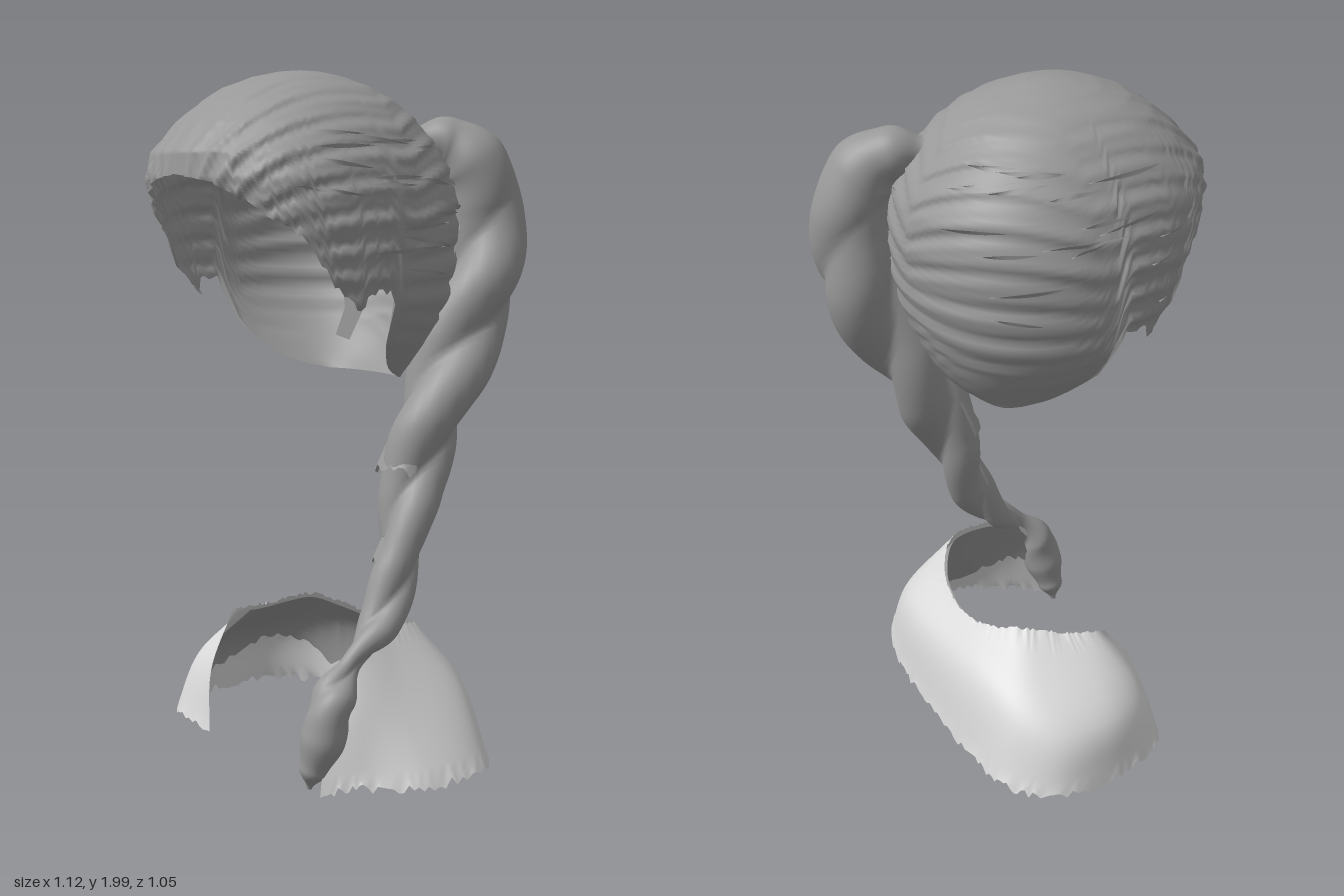
import * as THREE from 'three';
import { mergeVertices } from 'three/addons/utils/BufferGeometryUtils.js';

const { lerp, smoothstep } = THREE.MathUtils;
const V = (x, y, z) => new THREE.Vector3(x, y, z);

// Small seeded random numbers
function seeded(seed) {
  return () => (seed = (seed * 16807) % 2147483647) / 2147483647;
}

// Piecewise-linear lookup in a table of rows [key, a, b, ...], keys ascending
function sample(table, key, col) {
  if (key <= table[0][0]) return table[0][col];
  for (let i = 1; i < table.length; i++) {
    const a = table[i - 1], b = table[i];
    if (key <= b[0]) return lerp(a[col], b[col], (key - a[0]) / (b[0] - a[0]));
  }
  return table[table.length - 1][col];
}

// Smooth surface from a function of u and v, both 0..1
function grid(nu, nv, fn) {
  const pos = [], index = [];
  for (let i = 0; i <= nu; i++)
    for (let j = 0; j <= nv; j++) pos.push(...fn(i / nu, j / nv, i).toArray());
  for (let i = 0; i < nu; i++)
    for (let j = 0; j < nv; j++) {
      const a = i * (nv + 1) + j, b = a + nv + 1;
      index.push(a, a + 1, b, b, a + 1, b + 1);
    }
  let geo = new THREE.BufferGeometry();
  geo.setAttribute('position', new THREE.Float32BufferAttribute(pos, 3));
  geo.setIndex(index);
  geo = mergeVertices(geo, 1e-5);
  geo.computeVertexNormals();
  return geo;
}

// Head hair levels: y, half width, front z, back z, centre z
const LEVELS = [
  [1.12, 0.19, -0.05, -0.19, -0.1], [1.15, 0.24, 0.06, -0.23, 0.0],
  [1.2, 0.29, 0.13, -0.265, 0.05], [1.25, 0.335, 0.2, -0.29, 0.07],
  [1.35, 0.395, 0.36, -0.33, 0.08], [1.45, 0.415, 0.43, -0.35, 0.08],
  [1.6, 0.42, 0.49, -0.36, 0.08], [1.7, 0.4, 0.52, -0.345, 0.09],
  [1.77, 0.37, 0.51, -0.31, 0.09], [1.85, 0.315, 0.44, -0.25, 0.09],
  [1.91, 0.255, 0.37, -0.185, 0.09], [1.95, 0.195, 0.305, -0.115, 0.09],
  [1.98, 0.125, 0.225, -0.03, 0.09], [1.995, 0.06, 0.15, 0.03, 0.09], [2.0, 0, 0.09, 0.09, 0.09],
];
// Hem height by degrees from the front
const HEM = [
  [0, 1.71], [18, 1.69], [40, 1.6], [52, 1.54], [60, 1.42], [72, 1.34],
  [77, 1.4], [88, 1.4], [90, 1.36], [92, 1.25], [97, 1.17], [106, 1.13], [122, 1.12], [180, 1.12],
];
// Squares off a sine or cosine a little
const square = (n) => Math.sign(n) * Math.pow(Math.abs(n), 0.9);

function headPoint(theta, y, lift = 0) {
  const c = square(Math.cos(theta)), s = square(Math.sin(theta));
  const [w, f, b, zc] = [1, 2, 3, 4].map((k) => sample(LEVELS, y, k));
  const p = V(0.02 + s * w, y, zc + c * (c > 0 ? f - zc : zc - b));
  // Combed ridges run from the brow to the back
  const phi = Math.atan2(y - 1.42, Math.abs(p.x - 0.02) + Math.max(0, -p.z));
  const ridge = 0.005 * Math.sin(phi * 37 + p.z * 2) + 0.003 * Math.sin(phi * 71 - p.z * 5);
  const fade = smoothstep(y, 1.15, 1.35) * (1 - smoothstep(y, 1.94, 2));
  const k = 1 + (ridge * fade + lift) / 0.42;
  return V(0.02 + (p.x - 0.02) * k, y, 0.08 + (p.z - 0.08) * k);
}

// Braid: x, y, z and radius along its length
const BRAID = [
  [0.16, 1.80, -0.23, 0.045], [0.2, 1.8, -0.31, 0.075], [0.25, 1.74, -0.375, 0.1],
  [0.265, 1.6, -0.415, 0.105], [0.275, 1.4, -0.39, 0.115], [0.275, 1.2, -0.285, 0.11],
  [0.275, 1.0, -0.185, 0.102], [0.29, 0.8, -0.1, 0.08], [0.32, 0.6, -0.025, 0.066],
  [0.35, 0.45, 0.07, 0.054], [0.36, 0.36, 0.18, 0.028], [0.37, 0.27, 0.255, 0.06],
  [0.365, 0.17, 0.282, 0.064], [0.345, 0.08, 0.3, 0.042], [0.33, 0.02, 0.305, 0.008],
];

function braidGeometry() {
  const curve = new THREE.CatmullRomCurve3(BRAID.map(([x, y, z]) => V(x, y, z)));
  const last = BRAID.length - 1;
  return grid(140, 28, (u, v) => {
    const i = Math.min(Math.floor(u * last), last - 1), f = u * last - i;
    let r = lerp(BRAID[i][3], BRAID[i + 1][3], f * f * (3 - 2 * f));
    const t = curve.getTangent(u);
    const side = V(1, 0, 0).addScaledVector(t, -t.x).normalize();
    const out = t.clone().cross(side);
    const a = -v * Math.PI * 2;
    // Two locks wound around one another
    const twist = smoothstep(u, 0.12, 0.35) * (1 - smoothstep(u, 0.74, 0.85));
    r *= 1 + twist * (0.46 * Math.abs(Math.cos(a - u * 24)) - 0.3);
    return curve.getPoint(u)
      .addScaledVector(side, r * Math.cos(a)).addScaledVector(out, r * Math.sin(a));
  });
}

// Shoulder cape: rim, middle and hem, from the front at +x round the back
const RIM = [
  [0.33, 0.35, 0.19], [0.335, 0.39, 0.12], [0.325, 0.42, 0.02], [0.3, 0.42, -0.1],
  [0.2, 0.385, -0.18], [0.1, 0.36, -0.21], [0, 0.355, -0.22], [-0.12, 0.37, -0.2],
  [-0.21, 0.395, -0.14], [-0.25, 0.385, -0.07], [-0.28, 0.37, 0], [-0.3, 0.365, 0.06], [-0.31, 0.36, 0.1],
];
const MID = [
  [0.36, 0.2, 0.255], [0.4, 0.22, 0.17], [0.43, 0.22, 0.04], [0.42, 0.23, -0.18],
  [0.33, 0.24, -0.26], [0.18, 0.25, -0.3], [0, 0.26, -0.305], [-0.24, 0.265, -0.295],
  [-0.41, 0.23, -0.25], [-0.505, 0.2, -0.15], [-0.505, 0.2, 0.03], [-0.42, 0.2, 0.16], [-0.26, 0.2, 0.22],
];
const HEMLINE = [
  [0.385, 0.025, 0.31], [0.45, 0.025, 0.2], [0.545, 0.025, 0.05], [0.53, 0.025, -0.19],
  [0.4, 0.025, -0.285], [0.2, 0.025, -0.33], [0, 0.025, -0.34], [-0.28, 0.025, -0.34],
  [-0.45, 0.025, -0.31], [-0.55, 0.025, -0.2], [-0.555, 0.025, 0.03], [-0.48, 0.025, 0.2], [-0.2, 0.025, 0.27],
];
const [rim, mid, hemline] = [RIM, MID, HEMLINE].map(
  (rows) => new THREE.CatmullRomCurve3(rows.map((p) => V(...p))));

function capePoint(u, v) {
  return new THREE.CatmullRomCurve3([rim, mid, hemline].map((c) => c.getPoint(u))).getPoint(v);
}

export function createModel() {
  const hair = new THREE.MeshStandardMaterial({ color: 0x989898, side: THREE.DoubleSide });
  hair.name = 'hairGrey';
  const cloth = new THREE.MeshStandardMaterial({ color: 0xdadada, side: THREE.DoubleSide });
  cloth.name = 'capeLightGrey';
  const model = new THREE.Group();
  const rand = seeded(77);
  const jag = Array.from({ length: 200 }, () => rand() - 0.5);
  const add = (name, geo, mat, parent = model) => {
    const mesh = new THREE.Mesh(geo, mat);
    mesh.name = name;
    parent.add(mesh);
    return mesh;
  };

  // Head of hair, open at the face, with a ragged hem
  add('headHair', grid(180, 70, (u, v, i) => {
    const deg = Math.abs(u * 360 - 180);
    const theta = (u * 2 - 1) * Math.PI + Math.PI * 2;
    const degFront = 180 - deg;
    const ragged = degFront > 25 && degFront < 88 ? jag[i % 180] * 0.025 : 0;
    const hem = sample(HEM, degFront, 1) + ragged;
    return headPoint(theta + Math.PI, lerp(2, hem, Math.pow(v, 1.6)));
  }), hair);

  // Loose strands lying on the hair
  const strands = new THREE.Group();
  strands.name = 'looseStrands';
  model.add(strands);
  for (let k = 0; k < 40; k++) {
    const y0 = 1.45 + rand() * 0.42, side = k % 2 ? 1 : -1;
    const from = 0.9 + rand() * 1.6, span = 0.25 + rand() * 0.35, drop = (rand() - 0.6) * 0.06;
    add('strand', grid(10, 1, (u, v) => {
      const taper = Math.sin(u * Math.PI) * 0.012;
      return headPoint(side * (from + u * span), y0 + drop * u + (v - 0.5) * taper, 0.002 + 0.008 * u * v);
    }), hair, strands);
  }

  // Inner lock hanging beside the face at +x
  const lock = new THREE.Shape([
    [0.17, 1.5], [0.23, 1.55], [0.24, 1.47], [0.31, 1.43], [0.29, 1.34], [0.23, 1.25],
    [0.17, 1.26], [0.21, 1.34], [0.2, 1.42],
  ].map(([x, y]) => new THREE.Vector2(x, y)));
  add('innerLock', new THREE.ShapeGeometry(lock), hair).position.z = 0.08;

  // Ponytail wound into a rope that falls forward over the shoulder
  add('braid', braidGeometry(), hair);
  // Ragged tufts where the locks end along the braid
  for (const [x, y, z, s] of [[0.26, 0.9, -0.09, 0.11], [0.31, 0.64, 0.0, 0.07], [0.35, 0.42, 0.12, 0.045]]) {
    const tuft = add('braidTuft', grid(16, 3, (u, v, i) => {
      const a = (u - 0.5) * Math.PI, r = s * (0.5 + 0.25 * v);
      return V(r * Math.sin(a), s * (0.6 - v) + (v === 1 ? jag[i] * 0.25 * s : 0), r * Math.cos(a) * 0.6);
    }), hair);
    tuft.position.set(x, y, z);
    tuft.rotation.x = -0.3;
  }

  // Shoulder cape, open at the front
  add('cape', grid(150, 16, (u, v, i) => {
    const p = capePoint(u, v);
    p.y += jag[i] * (v === 1 ? 0.03 : v === 0 ? 0.012 : 0);
    return p;
  }), cloth);

  // Dark ragged lining inside the collar, hanging lowest on either side of the nape
  add('capeLining', grid(100, 10, (u, v, i) => {
    const depth = 0.68 + 0.16 * Math.cos(u * 17 - 10.5) + jag[i] * 0.08;
    const p = capePoint(lerp(0.02, 0.9, u), lerp(0.01, depth, v));
    return V(p.x * 0.965, p.y - 0.008, p.z * 0.95);
  }), hair);

  return model;
}
